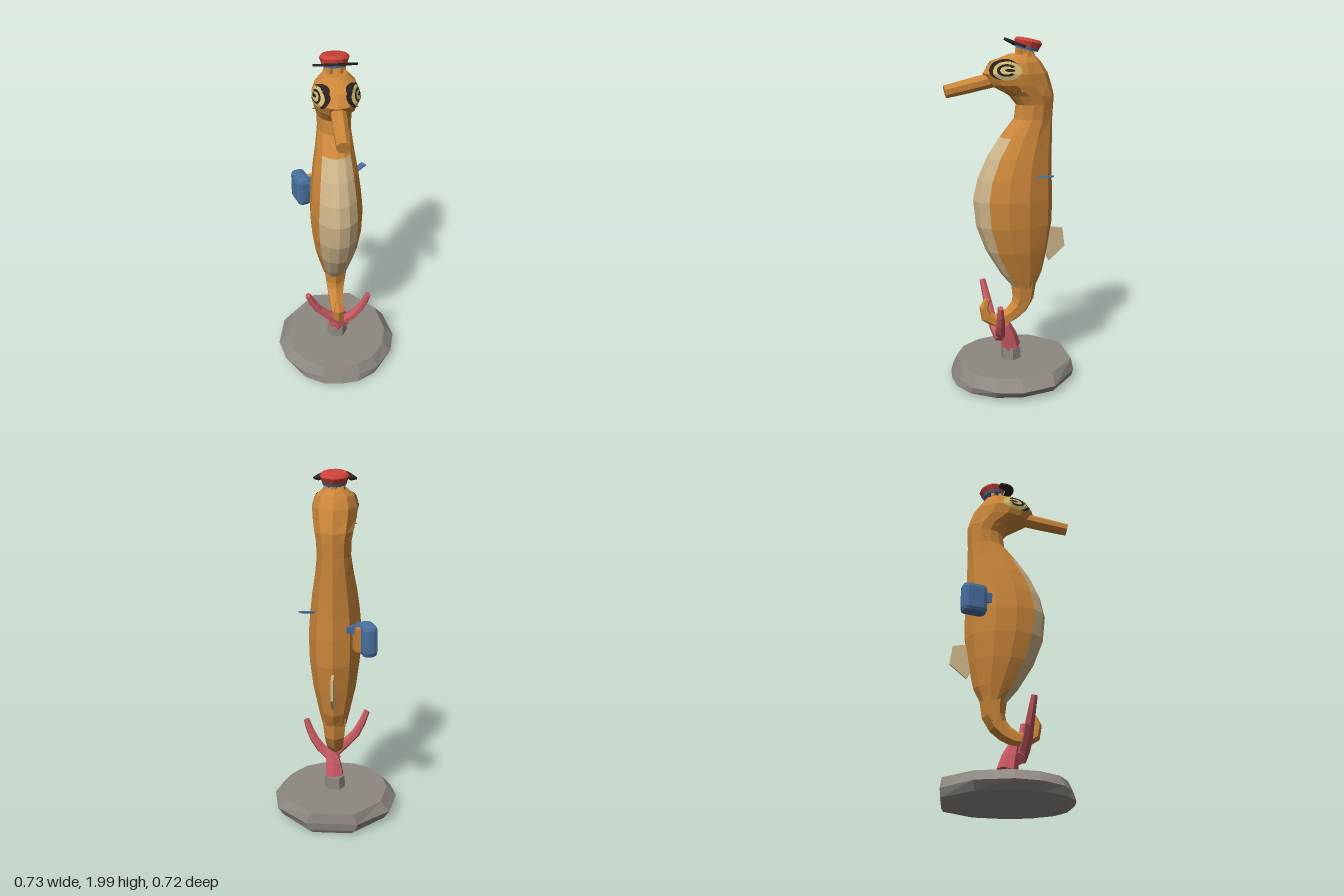
import * as THREE from 'three';
import { RoundedBoxGeometry } from 'three/addons/geometries/RoundedBoxGeometry.js';

const V = (x, y, z) => new THREE.Vector3(x, y, z);

function material(name, color, extra = {}) {
  const m = new THREE.MeshStandardMaterial({ color, flatShading: true, ...extra });
  m.name = name;
  return m;
}

// Skin a list of rings with flat faces; closed rings may get end caps
function loft(rings, closed = true, caps = true) {
  const pos = [];
  const tri = (...ps) => ps.forEach((p) => pos.push(p.x, p.y, p.z));
  const n = rings[0].length, m = closed ? n : n - 1;
  for (let i = 0; i < rings.length - 1; i++) {
    for (let j = 0; j < m; j++) {
      const k = (j + 1) % n;
      const a = rings[i][j], b = rings[i][k], c = rings[i + 1][k], d = rings[i + 1][j];
      tri(a, b, c);
      tri(a, c, d);
    }
  }
  if (closed && caps) {
    [rings[0], rings[rings.length - 1]].forEach((r, end) => {
      const mid = r.reduce((s, p) => s.add(p), V(0, 0, 0)).divideScalar(n);
      r.forEach((p, j) => (end ? tri(mid, p, r[(j + 1) % n]) : tri(mid, r[(j + 1) % n], p)));
    });
  }
  const g = new THREE.BufferGeometry();
  g.setAttribute('position', new THREE.Float32BufferAttribute(pos, 3));
  g.computeVertexNormals();
  return g;
}

// Tapered tube along a smooth path
function limb(points, radii, steps = 4, sides = 6) {
  const curve = new THREE.CatmullRomCurve3(points.map((p) => V(...p)));
  const f = curve.computeFrenetFrames(steps);
  const rings = [];
  for (let i = 0; i <= steps; i++) {
    const t = (i / steps) * (radii.length - 1), k = Math.min(Math.floor(t), radii.length - 2);
    const r = THREE.MathUtils.lerp(radii[k], radii[k + 1], t - k);
    const c = curve.getPointAt(i / steps);
    rings.push(Array.from({ length: sides }, (_, j) => {
      const a = ((j + 0.5) / sides) * Math.PI * 2;
      return c.clone().addScaledVector(f.normals[i], r * Math.cos(a)).addScaledVector(f.binormals[i], r * Math.sin(a));
    }));
  }
  return loft(rings);
}

export function createModel() {
  const orange = material('orange skin', 0xcc873a);
  const cream = material('cream belly', 0xcdb488);
  const gold = material('pale gold eye', 0xcdbb70, { side: THREE.DoubleSide });
  const black = material('near black', 0x2a2020, { side: THREE.DoubleSide });
  const red = material('cap red', 0xcc4238);
  const blue = material('pack blue', 0x48709f);
  const grey = material('stone grey', 0x8e8882);
  const coral = material('coral pink', 0xc75a62);

  const model = new THREE.Group();
  model.name = 'seahorse';
  const add = (name, geometry, mat, parent = model) => {
    const mesh = new THREE.Mesh(geometry, mat);
    mesh.name = name;
    parent.add(mesh);
    return mesh;
  };

  // Rock base
  const half = [[0.115, 0.33], [0.235, 0.27], [0.33, 0.145], [0.365, 0], [0.325, -0.195], [0.145, -0.36]];
  const outline = [[0, 0.34], ...half, ...half.map(([x, z]) => [-x, z]).reverse()];
  const rockRings = [[0, 0.75, 0.94, 0.95], [0.02, 0.9, 1.01, 0.98], [0.065, 1, 0.96, 1], [0.125, 0.84, 0.89, 0.98]]
    .map(([y, sx, front, back]) => outline.map(([x, z]) => V(x * sx, y, z * (z > 0 ? front : back))));
  add('rockBase', loft(rockRings), grey);

  // Coral with two branches
  add('coralFoot', limb([[0.005, 0.11, -0.012], [0.005, 0.195, -0.012]], [0.064, 0.058], 1), grey);
  add('coralTrunk', limb([[0.005, 0.195, -0.012], [0.015, 0.27, 0.005], [0.03, 0.35, 0.03]], [0.058, 0.048, 0.03]), coral);
  add('rightBranch', limb([[0.05, 0.27, 0.06], [-0.03, 0.34, 0.09], [-0.12, 0.43, 0.1], [-0.18, 0.56, 0.12]], [0.036, 0.03, 0.026, 0.018], 5), coral);
  add('leftBranch', limb([[-0.01, 0.26, 0.05], [0.08, 0.32, 0.07], [0.145, 0.41, 0.08], [0.182, 0.51, 0.09]], [0.036, 0.03, 0.026, 0.018], 5), coral);

  // Body rings: height, front z, back z, half width
  const rows = [
    [0.57, -0.02, -0.16, 0.07], [0.65, 0.045, -0.2, 0.09], [0.8, 0.135, -0.232, 0.125], [0.95, 0.19, -0.255, 0.145],
    [1.1, 0.205, -0.257, 0.15], [1.22, 0.18, -0.252, 0.14], [1.34, 0.125, -0.25, 0.125], [1.45, 0.05, -0.25, 0.106],
    [1.55, -0.03, -0.25, 0.093], [1.63, -0.04, -0.255, 0.096], [1.68, 0, -0.256, 0.106], [1.74, 0.11, -0.24, 0.119],
    [1.8, 0.145, -0.22, 0.125], [1.86, 0.105, -0.18, 0.106], [1.9, 0, -0.14, 0.06],
  ];
  const ring = ([y, zf, zb, hx], angles) => angles.map((deg) => {
    const a = THREE.MathUtils.degToRad(deg);
    return V(hx * Math.sin(a), y, (zf + zb) / 2 + ((zf - zb) / 2) * Math.cos(a));
  });
  const front = [-46, -23, 0, 23, 46], back = [46, 75, 105, 142, 180, 218, 255, 285, 314];
  const trunk = rows.slice(0, 8);
  add('belly', loft(trunk.map((r) => ring(r, front)), false), cream);
  add('back', loft(trunk.map((r) => ring(r, back)), false), orange);
  const all = [...front, ...back.slice(1, -1)];
  const head = add('neckAndHead', loft(rows.slice(7).map((r) => ring(r, all))), orange);

  // Snout, curled tail and dorsal fin
  add('snout', limb([[0, 1.765, 0.09], [0, 1.735, 0.22], [0, 1.706, 0.352]], [0.042, 0.04, 0.036], 2, 8), orange);
  add('tail', limb([[0, 0.61, -0.09], [0, 0.47, -0.08], [0, 0.385, 0], [0, 0.365, 0.1], [0, 0.42, 0.15], [0, 0.5, 0.13]],
    [0.078, 0.066, 0.05, 0.042, 0.035, 0.018], 9), orange);
  const finShape = new THREE.Shape([[0.2, 0.92], [0.32, 0.905], [0.335, 0.795], [0.24, 0.71], [0.2, 0.8]].map((p) => new THREE.Vector2(...p)));
  const fin = new THREE.ExtrudeGeometry(finShape, { depth: 0.014, bevelEnabled: false });
  fin.rotateY(Math.PI / 2).translate(-0.007, 0, 0);
  add('dorsalFin', fin, cream);

  // Eyes: thin patches laid onto the head
  const caster = new THREE.Raycaster();
  const patch = (s, du, dv, w, h, lift, inner = 0.001, start = 0, len = Math.PI * 2) => {
    const g = new THREE.RingGeometry(inner, 1, 28, 5, start, len);
    const n = V(s * 0.85, 0.1, 0.5).normalize();
    const u = V(-s * 0.5, 0, 0.85).normalize(), v = V(0, 1, 0);
    const p = g.attributes.position;
    for (let i = 0; i < p.count; i++) {
      const q = V(s * 0.1, 1.822, 0.045).addScaledVector(u, du + p.getX(i) * w).addScaledVector(v, dv + p.getY(i) * h);
      caster.set(q.clone().addScaledVector(n, 0.4), n.clone().negate());
      const hit = caster.intersectObject(head)[0];
      const o = (hit ? hit.point : q).clone().addScaledVector(n, lift);
      p.setXYZ(i, o.x, o.y, o.z);
    }
    g.computeVertexNormals();
    return g;
  };
  for (const [s, side] of [[1, 'left'], [-1, 'right']]) {
    add(side + 'EyeRim', patch(s, 0.008, 0.005, 0.082, 0.056, 0.003), black);
    add(side + 'EyePatch', patch(s, -0.012, -0.003, 0.076, 0.05, 0.005), gold);
    add(side + 'EyeCurl', patch(s, -0.012, 0, 0.052, 0.033, 0.007, 0.66, -0.8 * Math.PI, 1.6 * Math.PI), black);
    add(side + 'Pupil', patch(s, -0.03, 0, 0.026, 0.008, 0.007), black);
    // Small gill bumps under the cheeks
    const gill = add(side + 'Gill', new THREE.ConeGeometry(0.02, 0.05, 5), orange);
    gill.position.set(s * 0.1, 1.715, -0.05);
    gill.rotation.z = -s * 2;
  }

  // Coronet posts that carry the cap
  for (let i = 0; i < 5; i++) {
    const a = (i / 5) * Math.PI * 2 + 0.6;
    const post = add('coronetPost', new THREE.CylinderGeometry(0.014, 0.018, 0.07, 5), orange);
    post.position.set(0.045 * Math.sin(a), 1.905, -0.09 + 0.04 * Math.cos(a));
  }

  // Cap, tipped back
  const cap = new THREE.Group();
  cap.name = 'cap';
  cap.position.set(0, 1.922, -0.1);
  cap.rotation.x = -0.2;
  model.add(cap);
  add('capBand', new THREE.CylinderGeometry(0.068, 0.064, 0.016, 12), blue, cap).position.y = 0.008;
  const crown = [[0, 0.015], [0.068, 0.015], [0.079, 0.045], [0.066, 0.06], [0, 0.063]].map((p) => new THREE.Vector2(...p));
  add('capCrown', new THREE.LatheGeometry(crown, 12), red, cap);
  const peak = new THREE.Shape();
  peak.moveTo(-0.115, 0);
  peak.quadraticCurveTo(0, 0.18, 0.115, 0);
  peak.lineTo(0.085, -0.015);
  peak.quadraticCurveTo(0, 0.08, -0.085, -0.015);
  const peakGeo = new THREE.ExtrudeGeometry(peak, { depth: 0.012, bevelEnabled: false, curveSegments: 8 });
  peakGeo.rotateX(Math.PI / 2 - 0.42);
  add('capPeak', peakGeo, black).position.set(0, 1.952, -0.06);

  // Side pack with its straps
  const pack = new THREE.Group();
  pack.name = 'pack';
  pack.position.set(-0.185, 1.11, -0.21);
  pack.rotation.y = 0.32;
  model.add(pack);
  add('packBody', new RoundedBoxGeometry(0.085, 0.18, 0.145, 1, 0.028), blue, pack);
  add('packLining', new THREE.BoxGeometry(0.03, 0.13, 0.09), orange, pack).position.set(0.052, 0, 0.025);
  add('packStrap', new THREE.BoxGeometry(0.022, 0.06, 0.1), blue, pack).position.set(0.028, 0.04, 0.085);
  add('packBuckle', new THREE.BoxGeometry(0.07, 0.04, 0.04), blue, pack).position.set(0.075, 0.05, 0.04);
  const strap = add('looseStrap', new THREE.BoxGeometry(0.035, 0.008, 0.12), blue);
  strap.position.set(0.132, 1.243, -0.165);
  strap.rotation.set(0.15, -0.88, 0, 'YXZ');

  return model;
}
